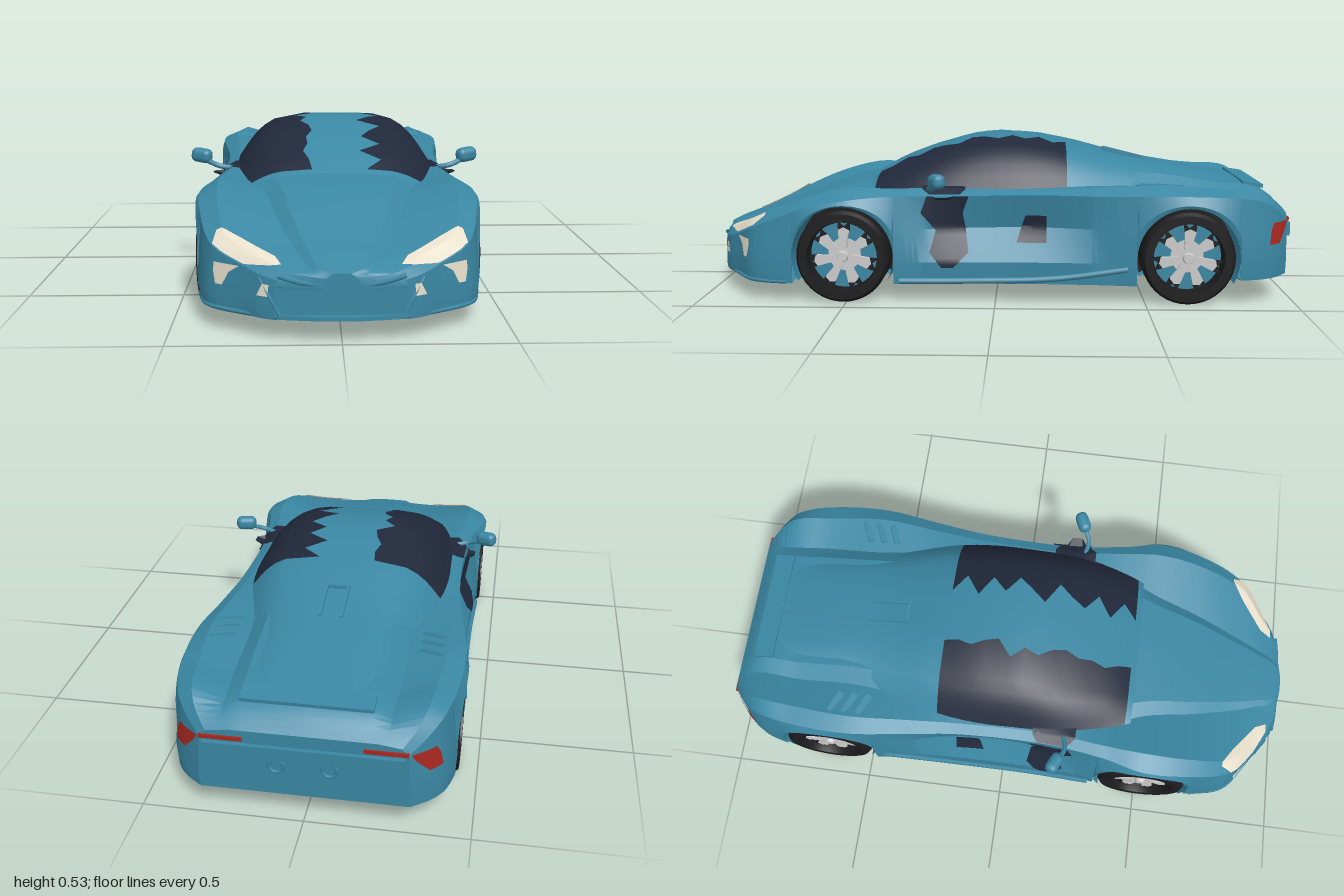
import * as THREE from 'three';
import { toCreasedNormals } from 'three/addons/utils/BufferGeometryUtils.js';
import { RoundedBoxGeometry } from 'three/addons/geometries/RoundedBoxGeometry.js';

const mat = (color) => new THREE.MeshStandardMaterial({ color, side: THREE.DoubleSide });
const paint = mat(0x3a87a3), glass = mat(0x20283a), cream = mat(0xe8e0cc), red = mat(0xa82820);
const rubber = mat(0x1c1c1e), silver = mat(0xcccccc);
const V = (x, y, z) => new THREE.Vector3(x, y, z);
const { lerp, clamp } = THREE.MathUtils;

// Body stations: z, half width, shoulder x/y, fender crest x/y, hood valley x/y, centre y
const STATIONS = [
  [0.99, 0.06, 0.055, 0.17, 0.045, 0.19, 0.03, 0.20, 0.205],
  [0.968, 0.19, 0.18, 0.18, 0.15, 0.20, 0.08, 0.205, 0.215],
  [0.9, 0.292, 0.28, 0.205, 0.24, 0.23, 0.11, 0.225, 0.24],
  [0.82, 0.395, 0.375, 0.245, 0.33, 0.268, 0.14, 0.245, 0.265],
  [0.66, 0.437, 0.425, 0.31, 0.37, 0.338, 0.19, 0.295, 0.325],
  [0.5, 0.45, 0.44, 0.345, 0.38, 0.38, 0.23, 0.34, 0.372],
  [0.36, 0.435, 0.41, 0.355, 0.37, 0.378, 0.28, 0.36, 0.39],
  [0.15, 0.42, 0.385, 0.355, 0.35, 0.375, 0.28, 0.38, 0.39],
  [-0.15, 0.42, 0.39, 0.36, 0.355, 0.375, 0.28, 0.38, 0.40],
  [-0.35, 0.43, 0.415, 0.36, 0.37, 0.385, 0.28, 0.378, 0.42],
  [-0.55, 0.45, 0.44, 0.365, 0.385, 0.395, 0.26, 0.372, 0.42],
  [-0.75, 0.447, 0.43, 0.36, 0.37, 0.382, 0.26, 0.35, 0.39],
  [-0.88, 0.42, 0.40, 0.345, 0.355, 0.375, 0.25, 0.345, 0.375],
  [-0.94, 0.38, 0.36, 0.31, 0.33, 0.335, 0.25, 0.33, 0.345],
  [-0.985, 0.32, 0.31, 0.27, 0.29, 0.29, 0.22, 0.30, 0.30]];
// Canopy stations: z, half width, top y
const CANOPY = [[0.44, 0.285, 0.39], [0.36, 0.31, 0.435], [0.2, 0.345, 0.495], [0.05, 0.352, 0.53],
  [-0.1, 0.352, 0.53], [-0.25, 0.335, 0.505], [-0.45, 0.28, 0.455], [-0.65, 0.23, 0.42], [-0.85, 0.2, 0.38]];
const AXLES = [0.51, -0.64], HUB = 0.156, ARCH = 0.17, MOUTH = 0.968;

// Smooth interpolation of a table along z (first column, descending)
function sample(table, z) {
  const n = table.length;
  let i = 0;
  while (i < n - 2 && z < table[i + 1][0]) i++;
  const a = table[i], b = table[i + 1], h = b[0] - a[0], t = clamp((z - a[0]) / h, 0, 1);
  const slope = (k, c) => {
    const p = table[Math.max(k - 1, 0)], q = table[Math.min(k + 1, n - 1)];
    return (q[c] - p[c]) / (q[0] - p[0]);
  };
  return a.map((_, c) => (2 * t ** 3 - 3 * t * t + 1) * a[c] + (t ** 3 - 2 * t * t + t) * h * slope(i, c)
    + (3 * t * t - 2 * t ** 3) * b[c] + (t ** 3 - t * t) * h * slope(i + 1, c));
}

// Lower edge of the flank, raised over the wheels and the mouth
function bottomY(z) {
  for (const c of AXLES) {
    const d = Math.abs(z - c);
    if (d <= ARCH) return HUB + Math.sqrt(ARCH * ARCH - d * d);
  }
  if (z > MOUTH) return 0.158;
  return z < -0.8 ? 0.085 : 0.064;
}

// Half cross-section from the sill up to the centre line
function profile(z) {
  const [, w, ws, ys, xf, yf, xh, yh, yc] = sample(STATIONS, z), b = bottomY(z);
  const scoop = 0.042 * Math.max(0, 1 - ((z + 0.05) / 0.36) ** 2);
  return [[w - 0.004, b], [w, lerp(b, ys, 0.25)], [lerp(w, ws, 0.5) - scoop, lerp(b, ys, 0.62)],
    [ws, ys], [xf, yf], [xh, yh], [xh * 0.8, lerp(yh, yc, 0.85)], [0, yc]];
}
function lookup(points, key, value) {
  for (let i = 0; i < points.length - 1; i++) {
    const a = points[i], b = points[i + 1], t = (value - a[key]) / (b[key] - a[key]);
    if (t >= 0 && t <= 1) return lerp(a[1 - key], b[1 - key], t);
  }
  return points[0][1 - key];
}
const sideX = (z, y) => lookup(profile(z).slice(0, 4), 1, y);
const topY = (z, x) => lookup(profile(z).slice(3), 0, x);

// Skin over rows of points
function skin(rows, crease = 0.45) {
  const m = rows[0].length, index = [];
  for (let r = 0; r < rows.length - 1; r++) for (let i = 0; i < m - 1; i++) {
    const a = r * m + i, c = a + m;
    index.push(a, c, a + 1, a + 1, c, c + 1);
  }
  const g = new THREE.BufferGeometry().setFromPoints(rows.flat());
  g.setIndex(index);
  g.computeVertexNormals();
  return toCreasedNormals(g, crease);
}
const range = (a, b, n) => Array.from({ length: n + 1 }, (_, i) => lerp(a, b, i / n));
const mirrorRow = (half) => [...half, ...half.slice(0, -1).reverse().map((p) => V(-p.x, p.y, p.z))];

export function createModel() {
  const car = new THREE.Group();
  car.name = 'sportsCar';
  const add = (name, geometry, material, parent = car) => {
    const mesh = new THREE.Mesh(geometry, material);
    mesh.name = name;
    parent.add(mesh);
    return mesh;
  };
  const box = (name, size, pos, material = paint, rot = [0, 0, 0]) => {
    const m = add(name, new THREE.BoxGeometry(...size), material);
    m.position.set(...pos);
    m.rotation.set(...rot);
  };
  const tube = (name, pts, r) => add(name,
    new THREE.TubeGeometry(new THREE.CatmullRomCurve3(pts.map((p) => V(...p))), 16, r, 6), paint);

  // Painted shell and flat floor
  const zs = [...range(0.99, -0.985, 110), MOUTH + 0.0005, MOUTH, 0.985, 0.98];
  for (const c of AXLES) {
    for (const a of range(0, Math.PI, 24)) zs.push(c + ARCH * 0.9999 * Math.cos(a));
    zs.push(c + ARCH + 0.0005, c - ARCH - 0.0005);
  }
  zs.sort((a, b) => b - a);
  const shell = zs.map((z) => mirrorRow(profile(z).map(([x, y]) => V(x, y, z))));
  add('bodyShell', skin(shell, 0.3), paint);
  const floorRow = (z, y) => {
    const x = AXLES.some((c) => Math.abs(z - c) <= ARCH) ? 0.28 : profile(z)[0][0];
    return [V(-x, y, z), V(x, y, z)];
  };
  add('floor', skin(zs.map((z) => floorRow(z, z < -0.81 ? 0.086 : 0.066))), paint);
  // Front mouth: nose underside, splitter top and recessed back
  const mouthZs = zs.filter((z) => z > MOUTH);
  for (const [name, y] of [['noseUnderside', 0.158], ['splitterTop', 0.078]]) add(name, skin(mouthZs.map((z) => floorRow(z, y))), paint);
  const lipRim = mouthZs.map((z) => profile(z)[0][0]);
  const rimPoints = [...lipRim.map((x, i) => [x, mouthZs[i]]).reverse(), ...lipRim.map((x, i) => [-x, mouthZs[i]])];
  add('splitterEdge', skin([0.066, 0.078].map((y) => rimPoints.map(([x, z]) => V(x, y, z)))), paint);
  box('mouthBack', [0.37, 0.1, 0.004], [0, 0.115, MOUTH - 0.003]);
  // Nose and tail faces
  [['nosePanel', shell[0]], ['tailPanel', shell[shell.length - 1]]].forEach(([name, row]) => {
    const g = new THREE.ShapeGeometry(new THREE.Shape(row.map((p) => new THREE.Vector2(p.x, p.y))));
    add(name, g.translate(0, 0, row[0].z), paint);
  });

  // Canopy: dark glass either side of a painted roof strip with ragged edges
  const jagLeft = [0.1, 0.15, 0.08, 0.15, 0.09, 0.12, 0.16, 0.08, 0.12, 0.16];
  const jagRight = [0.08, 0.09, 0.11, 0.095, 0.1, 0.08, 0.09, 0.12, 0.1, 0.14];
  const canopyRow = (z, k) => {
    const [, w, top] = sample(CANOPY, z), base = topY(z, w) - 0.01;
    const edge = [1, 0.96, 0.9, 0.82, 0.73, 0.62];
    const f = [...edge, jagLeft[k % 10] / w, 0.15, 0, -0.15, -jagRight[k % 10] / w, ...edge.map((e) => -e).reverse()];
    return f.map((e) => V(e * w, base + (top - base) * (1 - Math.abs(e) ** 4.5) ** 1.2, z));
  };
  const cabin = range(0.42, -0.24, 14).map(canopyRow);
  add('roofStrip', skin(cabin.map((r) => r.slice(6, 11))), paint);
  add('leftGlass', skin(cabin.map((r) => r.slice(0, 7))), glass);
  add('rightGlass', skin(cabin.map((r) => r.slice(10))), glass);
  add('cowl', skin([0.44, 0.42].map((z) => canopyRow(z, 0))), paint);
  add('engineCover', skin(range(-0.24, -0.85, 18).map((z) => canopyRow(z, 4))), paint);

  // Panels that follow the body; rows are [y, z0, z1] on flanks or [z, x0, x1] on top
  const panel = (name, rows, material, flank) => {
    for (const s of [1, -1]) {
      const fine = range(0, rows.length - 1, (rows.length - 1) * 5).map((t) => {
        const i = Math.min(Math.floor(t), rows.length - 2);
        const [k, a, b] = rows[i].map((v, c) => lerp(v, rows[i + 1][c], t - i));
        return range(a, b, 8).map((q) => {
          if (flank) return V(s * (sideX(q, k) + 0.006), k, q);
          const x = Math.min(q, profile(k)[3][0]);
          return V(s * x, topY(k, x) + 0.006, k + 0.002);
        });
      });
      add((s > 0 ? 'left' : 'right') + name, skin(fine), material);
    }
  };
  panel('DoorInset', [[0.355, 0.09, 0.23], [0.3, 0.11, 0.25], [0.24, 0.1, 0.2], [0.17, 0.09, 0.22], [0.12, 0.14, 0.18]], glass, true);
  panel('DoorShoulder', [[0.25, 0.32, 0.36], [0.21, 0.32, 0.4], [0.13, 0.32, 0.4], [0.1, 0.32, 0.36]], glass, false);
  panel('SideIntake', [[0.29, -0.17, -0.1], [0.2, -0.17, -0.07]], glass, true);
  panel('Headlight', [[0.78, 0.35, 0.365], [0.82, 0.29, 0.375], [0.86, 0.24, 0.34], [0.9, 0.19, 0.28], [0.94, 0.17, 0.2]], cream, false);
  panel('HeadlightLower', [[0.203, 0.84, 0.895], [0.18, 0.84, 0.875], [0.14, 0.85, 0.865]], cream, true);
  panel('BumperLight', [[0.165, 0.95, 0.96], [0.13, 0.942, 0.96]], cream, true);
  panel('TailLight', [[0.27, -0.925, -0.984], [0.245, -0.915, -0.975], [0.2, -0.91, -0.95]], red, true);

  for (const s of [1, -1]) {
    const side = s > 0 ? 'left' : 'right';
    // Door mirror
    const m = add(side + 'Mirror', new RoundedBoxGeometry(0.075, 0.05, 0.045, 3, 0.02), paint);
    m.position.set(s * 0.462, 0.414, 0.19);
    m.rotation.set(0, s * 0.45, s * 0.1);
    tube(side + 'MirrorArm', [[s * 0.35, 0.372, 0.21], [s * 0.4, 0.382, 0.22], [s * 0.445, 0.398, 0.2]], 0.009);
    // Front bumper struts, splitter edge, sill blade and rear trim
    tube(side + 'BumperStrut', [[s * 0.235, 0.18, 0.937], [s * 0.205, 0.13, 0.957], [s * 0.175, 0.075, 0.968]], 0.006);
    tube(side + 'BumperEdge', [[s * 0.18, 0.072, 0.966], [s * 0.29, 0.068, 0.898], [s * 0.39, 0.068, 0.82], [s * 0.425, 0.068, 0.7]], 0.007);
    tube(side + 'SillBlade', [[s * 0.43, 0.075, 0.32], [s * 0.422, 0.075, 0.1], [s * 0.425, 0.085, -0.2], [s * 0.436, 0.12, -0.44]], 0.01);
    for (let i = 0; i < 3; i++) {
      const z = -0.5 - i * 0.05;
      box(side + 'RearLouvre', [0.08, 0.006, 0.022], [s * 0.335, topY(z, 0.335) + 0.001, z], paint, [0.25, s * 0.4, 0]);
    }
    box(side + 'TailStrip', [0.13, 0.012, 0.012], [s * 0.245, 0.272, -0.985], red);
    box(side + 'CoverFin', [0.01, 0.016, 0.15], [s * 0.035, 0.455, -0.455], paint, [-0.24, 0, 0]);
    const pipe = add(side + 'Exhaust', new THREE.TorusGeometry(0.022, 0.006, 6, 16), paint);
    pipe.position.set(s * 0.08, 0.19, -0.988);
    for (const x of [0.08, 0.2]) box(side + 'DiffuserFin', [0.008, 0.03, 0.12], [s * x, 0.098, -0.92]);
  }
  box('coverScoopFront', [0.08, 0.014, 0.012], [0, 0.472, -0.385]);
  tube('noseLip', [[-0.18, 0.192, 0.966], [-0.11, 0.175, 0.978], [0, 0.165, 0.982], [0.11, 0.175, 0.978], [0.18, 0.192, 0.966]], 0.008);
  box('rearBumper', [0.6, 0.045, 0.03], [0, 0.235, -0.984]);
  box('diffuser', [0.58, 0.03, 0.1], [0, 0.108, -0.935]);
  box('tailSpoiler', [0.4, 0.012, 0.07], [0, 0.372, -0.89], paint, [-0.15, 0, 0]);

  // Wheels, built along +x with the outer face outward
  const tyreGeo = toCreasedNormals(new THREE.LatheGeometry([[0.112, -0.07], [0.145, -0.076], [0.155, -0.06], [0.155, 0.06],
    [0.145, 0.074], [0.118, 0.074], [0.114, 0.05], [0.114, -0.05]].map((p) => new THREE.Vector2(...p)), 40).rotateZ(-Math.PI / 2), 0.6);
  const extrude = (pts, depth) => new THREE.ExtrudeGeometry(new THREE.Shape(pts.map((p) => new THREE.Vector2(...p))),
    { depth, bevelEnabled: false }).rotateY(Math.PI / 2);
  const spokeGeo = extrude([[-0.014, 0.008], [0.014, 0.008], [0.014, 0.05], [0.024, 0.088], [0.004, 0.098], [-0.014, 0.09], [-0.012, 0.05]], 0.014);
  const tipGeo = extrude([[-0.014, 0.088], [0.024, 0.086], [0.026, 0.116], [0.004, 0.1], [-0.016, 0.116]], 0.012);
  for (const z of AXLES) for (const s of [1, -1]) {
    const wheel = new THREE.Group();
    wheel.name = (s > 0 ? 'left' : 'right') + (z > 0 ? 'Front' : 'Rear') + 'Wheel';
    wheel.position.set(s * 0.367, HUB, z);
    if (s < 0) wheel.rotation.y = Math.PI;
    car.add(wheel);
    add('tyre', tyreGeo, rubber, wheel);
    add('rimBack', new THREE.CylinderGeometry(0.114, 0.114, 0.03, 32).rotateZ(Math.PI / 2), paint, wheel);
    add('brakeDisc', new THREE.CylinderGeometry(0.055, 0.055, 0.04, 28).rotateZ(Math.PI / 2), silver, wheel);
    add('hub', new THREE.CylinderGeometry(0.016, 0.024, 0.025, 14).rotateZ(-Math.PI / 2), silver, wheel).position.x = 0.052;
    for (let i = 0; i < 7; i++) for (const [name, geo, material] of [['spoke', spokeGeo, silver], ['spokeTip', tipGeo, rubber]]) {
      const m = add(name, geo, material, wheel);
      m.position.x = 0.04;
      m.rotation.x = (i / 7) * Math.PI * 2;
    }
    // Wheel well, open below the floor
    add('wellLiner', skin(range(-0.5, Math.PI + 0.5, 30).map((a) => [0.28, 0.435].map((x) =>
      V(s * x, HUB + ARCH * Math.sin(a), z + ARCH * Math.cos(a))))), paint);
    const wall = add('wellWall', new THREE.CircleGeometry(ARCH, 32, -0.5, Math.PI + 1).rotateY(Math.PI / 2), rubber);
    wall.position.set(s * 0.28, HUB, z);
  }
  return car;
}
